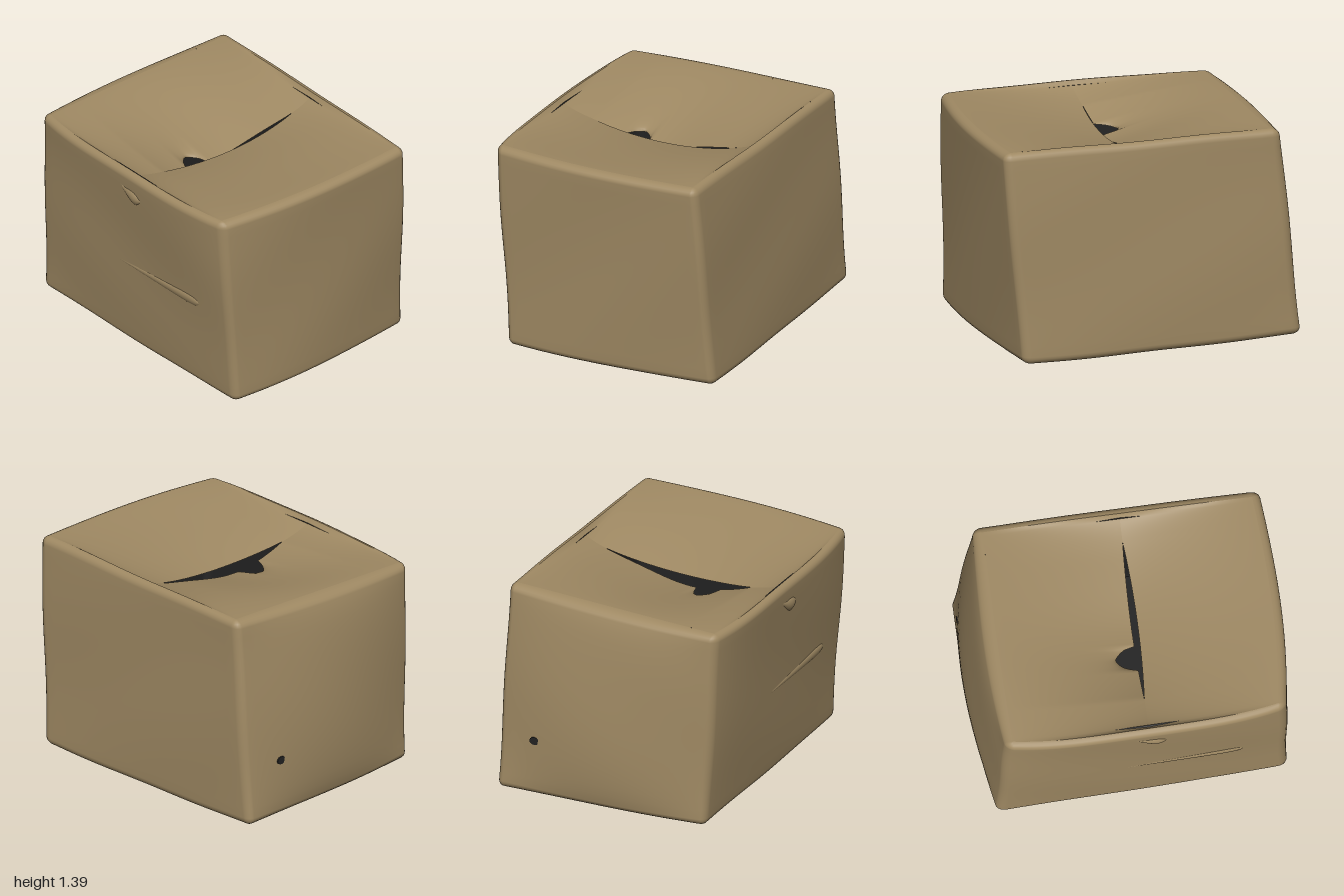
import * as THREE from 'three';

const { lerp, smoothstep } = THREE.MathUtils;
const cardboard = new THREE.MeshStandardMaterial({ color: 0x9f8963, side: THREE.DoubleSide });
cardboard.name = 'cardboard';
const darkInside = new THREE.MeshStandardMaterial({ color: 0x222222, side: THREE.DoubleSide });
darkInside.name = 'dark inside';

// Corners of the crooked box: back left, back right, front left, front right as seen from the front
const BOTTOM = [[-0.955, 0.03, -0.805], [0.89, 0.015, -0.77], [-0.93, 0.04, 0.64], [0.92, 0.03, 0.66]];
const TOP = [[-0.82, 1.39, -0.785], [1.0, 1.39, -0.70], [-0.885, 1.34, 0.69], [0.9, 1.36, 0.755]];

// Maps a regular box (x, z from -1 to 1, y from 0 to 1) to the worn, bulging one
function warp(x, y, z) {
  const a = (x + 1) / 2, b = (z + 1) / 2;
  const p = [0, 1, 2].map(i => {
    const side = c => lerp(lerp(c[0][i], c[1][i], a), lerp(c[2][i], c[3][i], a), b);
    return lerp(side(BOTTOM), side(TOP), y);
  });
  const hump = 4 * y * (1 - y);
  if (x < 0) p[0] -= 0.085 * x * x * Math.sqrt(Math.max(0, hump)) * (1 - 1.15 * z * z);
  else p[0] += 0.045 * x * x * (1 - z * z);
  p[0] += 0.004 * x * Math.sin(7 * y + 3 * z);
  p[2] += z > 0 ? 0.05 * y * z * (1 - x ** 4) : 0.012 * hump * z * (1 - x * x);
  p[2] += 0.004 * z * Math.sin(8 * y + 2.5 * x);
  p[1] += 0.005 * Math.sin(6 * x + 2 * z) * (y - 0.5) - 0.01 * (1 - y) * (1 - x * x);
  return p;
}

function build(name, positions, index, material) {
  const g = new THREE.BufferGeometry();
  g.setAttribute('position', new THREE.Float32BufferAttribute(positions, 3));
  g.setIndex(index);
  g.computeVertexNormals();
  const mesh = new THREE.Mesh(g, material);
  mesh.name = name;
  return mesh;
}

// Sheet from fn(u, v) -> [x, y, z]
function sheet(name, nu, nv, material, fn) {
  const pos = [], idx = [];
  for (let j = 0; j <= nv; j++) {
    for (let i = 0; i <= nu; i++) {
      pos.push(...fn(i / nu, j / nv));
      if (i < nu && j < nv) {
        const a = j * (nu + 1) + i, b = a + nu + 1;
        idx.push(a, b, a + 1, a + 1, b, b + 1);
      }
    }
  }
  return build(name, pos, idx, material);
}

const R = 0.06, RY = 0.035, CORE = 1 - R;

// Four walls with rounded corners and rolled top and bottom edges
function walls(name, scale, material) {
  const ring = [];
  const corners = [[1, 1], [-1, 1], [-1, -1], [1, -1]];
  corners.forEach(([cx, cz], k) => {
    const [nx, nz] = corners[(k + 1) % 4];
    for (let i = 0; i <= 5; i++) {
      const t = (k + i / 5) * Math.PI / 2;
      ring.push([cx * CORE, cz * CORE, Math.cos(t), Math.sin(t)]);
    }
    const t = (k + 1) * Math.PI / 2;
    for (let i = 1; i < 24; i++) {
      ring.push([lerp(cx, nx, i / 24) * CORE, lerp(cz, nz, i / 24) * CORE, Math.cos(t), Math.sin(t)]);
    }
  });
  const levels = [];
  for (let i = 0; i <= 5; i++) {
    const t = i / 5 * Math.PI / 2;
    levels.push([RY * (1 - Math.cos(t)), R * Math.sin(t)]);
  }
  for (let i = 1; i < 20; i++) levels.push([lerp(RY, 1 - RY, i / 20), R]);
  for (let i = 5; i >= 0; i--) levels.push([1 - levels[i][0], levels[i][1]]);

  const pos = [], idx = [], n = ring.length;
  levels.forEach(([y, r], j) => ring.forEach(([x, z, dx, dz], i) => {
    pos.push(...warp((x + dx * r) * scale, 0.5 + (y - 0.5) * scale, (z + dz * r) * scale));
    if (j < levels.length - 1) {
      const a = j * n + i, b = j * n + (i + 1) % n;
      idx.push(a, a + n, b, b, a + n, b + n);
    }
  }));
  return build(name, pos, idx, material);
}

// Rounded crease running along the front wall; path gives [x, y] and radius
function crease(name, path) {
  return sheet(name, 32, 12, cardboard, (u, v) => {
    const [x, y, r] = path(u), t = v * Math.PI;
    return warp(x, y + r * Math.cos(t) / 1.34, 0.997 + 0.5 * r * Math.sin(t) ** 1.5);
  });
}

export function createModel() {
  const model = new THREE.Group();
  model.name = 'worn cardboard box';
  model.add(walls('walls', 1, cardboard));

  // Dark lining seen through the gap
  model.add(walls('lining', 0.96, darkInside));
  model.add(sheet('lining floor', 8, 8, darkInside, (u, v) =>
    warp((2 * u - 1) * 0.95, 0.04, (2 * v - 1) * 0.95)));

  // Hinged top flaps sunk along the seam, parted by a slit with a torn notch
  const SEAM = 0.02;
  const slit = z => Math.max(0, 1 - ((z + 0.04) / 0.68) ** 2);
  const notch = z => Math.max(0, 1 - Math.abs(z - 0.26) / 0.1) ** 0.4;
  for (const side of [-1, 1]) {
    const name = side < 0 ? 'right top flap' : 'left top flap';
    model.add(sheet(name, 30, 96, cardboard, (u, v) => {
      const z = (2 * v - 1) * CORE;
      const edge = SEAM + (side < 0 ? -0.015 : 0.028) * slit(z);
      const torn = side < 0 ? 0.15 * notch(z) * u ** 8 : 0;
      const p = warp(lerp(side * CORE, edge, u) - torn, 1, z);
      const bow = Math.max(0, Math.sin(Math.PI * v)) ** 0.5;
      const drop = side < 0 ? 0.055 * slit(z) * smoothstep(z, -0.6, 0.3) : 0;
      p[1] -= (0.145 * bow + drop) * u ** 1.2;
      return p;
    }));
  }

  // Bottom flaps: one ends in a rolled lip, with a short slit between
  for (const side of [-1, 1]) {
    const name = side < 0 ? 'right bottom flap' : 'left bottom flap';
    model.add(sheet(name, 40, 40, cardboard, (u, v) => {
      const z = (2 * v - 1) * CORE;
      const open = side > 0 ? 0.02 * Math.max(0, 1 - ((z + 0.07) / 0.24) ** 2) : 0;
      const p = warp(lerp(side * CORE, open, u), 0, z);
      const lip = Math.max(0, u - 0.9) / 0.1;
      if (side < 0) p[1] -= 0.014 * Math.sin(Math.PI * lip) * Math.min(1, 12 * v * (1 - v));
      return p;
    }));
  }

  // Long dent ridge and small curled crease on the front
  model.add(crease('front ridge', u =>
    [lerp(-0.25, 0.7, u), 0.455 + 0.012 * u, 0.042 * u * Math.sqrt(Math.max(0, 1 - u ** 14)) + 0.001]));
  model.add(crease('front curl', u =>
    [lerp(-0.11, 0.15, u), 0.93 - 0.055 * Math.sin(u * 1.9), 0.045 * Math.sin(Math.PI * u ** 1.8) + 0.001]));

  // Small puncture in the side wall
  const hole = new THREE.Mesh(new THREE.CylinderGeometry(0.026, 0.026, 0.008, 20), darkInside);
  hole.name = 'side puncture';
  hole.rotation.z = Math.PI / 2;
  hole.scale.z = 1.3;
  hole.position.set(...warp(-1, 0.28, -0.63));
  model.add(hole);

  return model;
}
